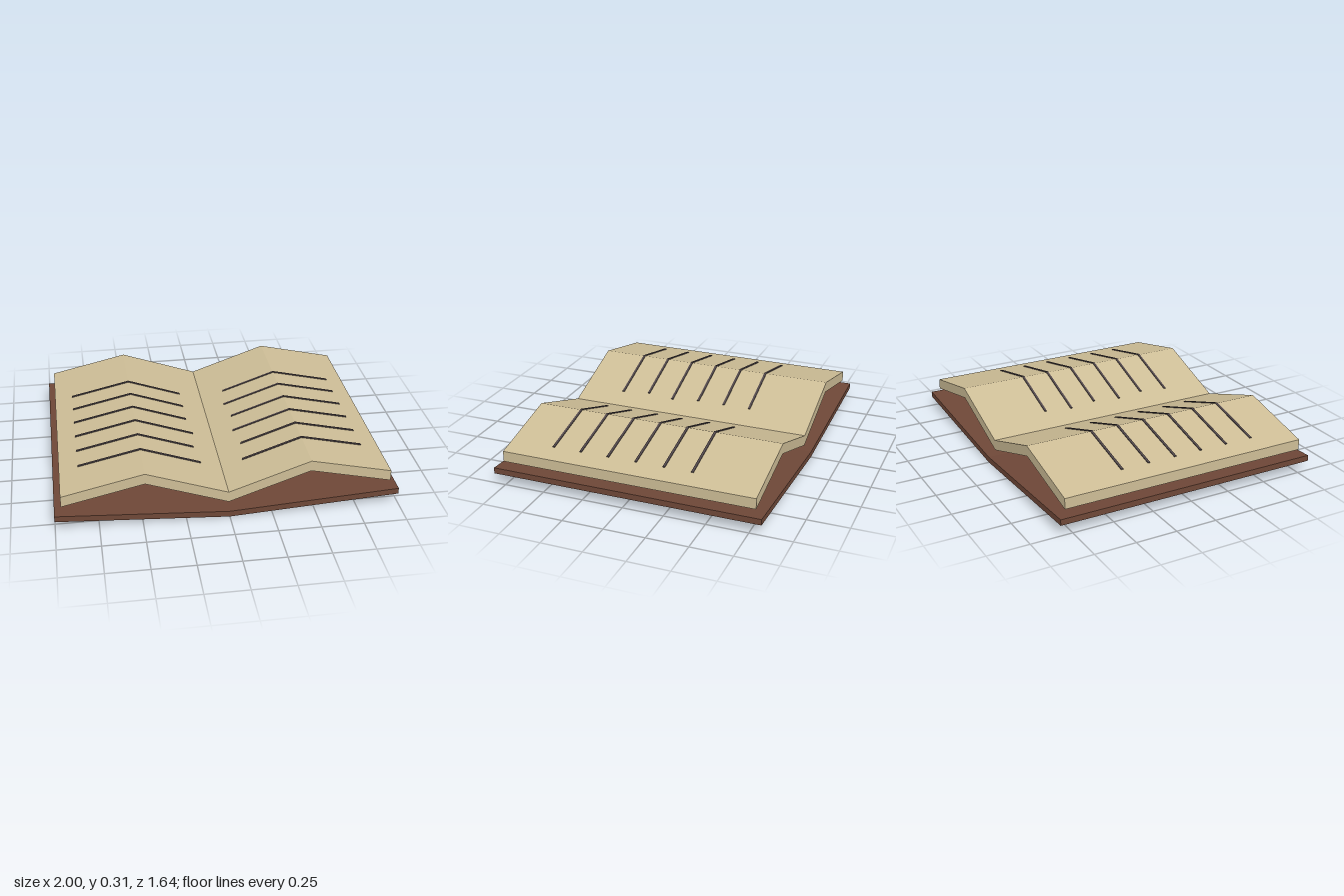
import * as THREE from 'three';

const mat = (name, color) => {
  const m = new THREE.MeshStandardMaterial({ color });
  m.name = name;
  return m;
};

// Extrudes a folded sheet: the top outline [x, y] is thickened downwards, with its depth centred on z.
function foldedSheet(name, top, thickness, depth, z, material) {
  const bottom = top.map(([x, y]) => [x, y - thickness]).reverse();
  const shape = new THREE.Shape([...top, ...bottom].map(([x, y]) => new THREE.Vector2(x, y)));
  const geometry = new THREE.ExtrudeGeometry(shape, { depth, bevelEnabled: false });
  geometry.translate(0, 0, z - depth / 2);
  const mesh = new THREE.Mesh(geometry, material);
  mesh.name = name;
  return mesh;
}

// Height of the page surface at a distance from the gutter
const GUTTER = 0.138, CREST = 0.304, EDGE = 0.195, FOLD = 0.48, HALF = 0.96;
const pageY = (x) => {
  const d = Math.abs(x);
  return d < FOLD
    ? GUTTER + (CREST - GUTTER) * d / FOLD
    : CREST + (EDGE - CREST) * (d - FOLD) / (HALF - FOLD);
};

export function createModel() {
  const book = new THREE.Group();
  book.name = 'openBook';
  const leather = mat('brown leather', 0x6e4737);
  const paper = mat('aged paper', 0xcdbd96);
  const ink = mat('dark ink', 0x51474a);

  // Shallow V-shaped cover
  book.add(foldedSheet('cover', [[-1, 0.098], [0, 0.036], [1, 0.098]], 0.036, 1.64, 0, leather));

  // Page block with a crest on each side of the gutter
  const crease = [-HALF, -FOLD, 0, FOLD, HALF].map((x) => [x, pageY(x)]);
  book.add(foldedSheet('pages', crease, 0.065, 1.55, 0, paper));

  // Ruled lines of writing, bent over each crest: [z, left page inner x, right page inner x]
  const rows = [
    [-0.365, 0.145, 0.145], [-0.193, 0.145, 0.125], [-0.02, 0.145, 0.145],
    [0.153, 0.125, 0.125], [0.326, 0.145, 0.145], [0.5, 0.125, 0.125],
  ];
  const writing = new THREE.Group();
  writing.name = 'writing';
  for (const [z, innerLeft, innerRight] of rows) {
    for (const [side, inner] of [[-1, innerLeft], [1, innerRight]]) {
      const path = [inner, FOLD, 0.85].map((d) => [side * d, pageY(d) + 0.005]);
      writing.add(foldedSheet('writtenLine', path, 0.006, 0.014, z, ink));
    }
  }
  book.add(writing);
  return book;
}
